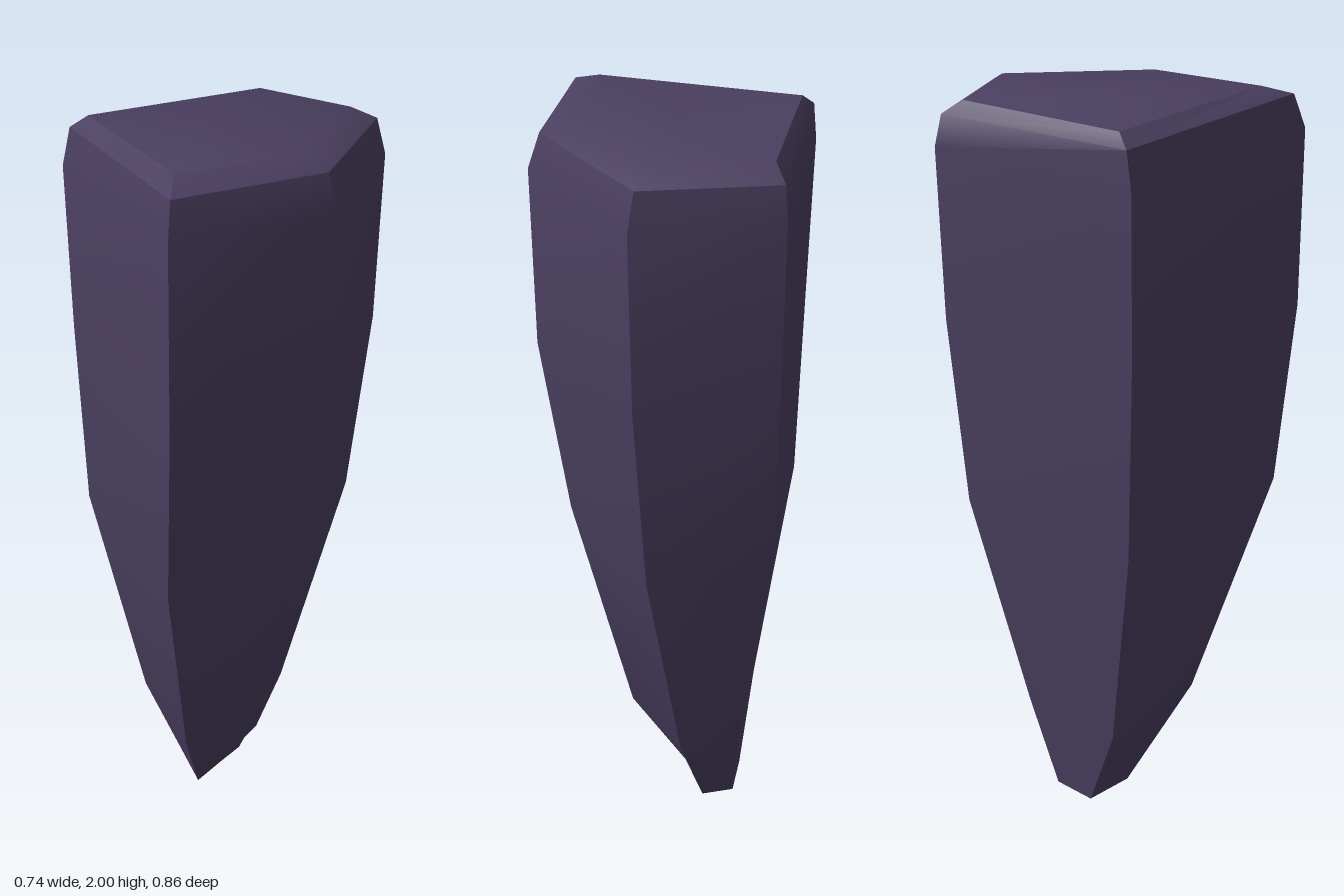
import * as THREE from 'three';
import { toCreasedNormals } from 'three/addons/utils/BufferGeometryUtils.js';

// Five-sided cross-sections, bottom to top; corners as [x, y, z]
const rings = [
  [[-0.10, 0.01, -0.16], [-0.01, 0.01, -0.155], [0.01, 0.05, -0.04], [-0.03, 0, 0.03], [-0.155, 0.01, -0.05]],
  [[-0.09, 0.28, -0.24], [0.08, 0.28, -0.24], [0.155, 0.28, 0.0], [0.055, 0.3, 0.2], [-0.22, 0.28, 0.03]],
  [[-0.115, 0.92, -0.385], [0.2, 0.93, -0.36], [0.305, 0.94, 0.03], [0.15, 0.94, 0.395], [-0.345, 0.92, 0.1]],
  [[-0.11, 1.43, -0.425], [0.235, 1.43, -0.395], [0.37, 1.43, 0.035], [0.19, 1.43, 0.43], [-0.36, 1.43, 0.11]],
  [[-0.11, 1.87, -0.43], [0.24, 1.87, -0.40], [0.37, 1.88, 0.035], [0.19, 1.89, 0.425], [-0.37, 1.86, 0.11]],
  [[-0.11, 1.95, -0.41], [0.22, 1.96, -0.385], [0.34, 1.965, 0.03], [0.175, 1.975, 0.395], [-0.355, 1.955, 0.095]],
  [[-0.105, 1.985, -0.355], [0.17, 1.99, -0.34], [0.275, 1.995, 0.03], [0.13, 2.0, 0.32], [-0.315, 1.985, 0.07]],
];

// Skin the cross-sections and close both ends
function loft(sections) {
  const n = sections[0].length;
  const index = [];
  for (let r = 0; r < sections.length - 1; r++) {
    for (let i = 0; i < n; i++) {
      const a = r * n + i, b = r * n + (i + 1) % n;
      index.push(b, a, a + n, b, a + n, b + n);
    }
  }
  const top = (sections.length - 1) * n;
  for (let i = 1; i < n - 1; i++) {
    index.push(0, i, i + 1, top, top + i + 1, top + i);
  }
  const geometry = new THREE.BufferGeometry();
  geometry.setAttribute('position', new THREE.Float32BufferAttribute(sections.flat(2), 3));
  geometry.setIndex(index);
  return toCreasedNormals(geometry, 0.6);
}

export function createModel() {
  const group = new THREE.Group();
  group.name = 'stonePillar';
  const stone = new THREE.MeshStandardMaterial({ color: 0x4a3f60 });
  stone.name = 'dark purple stone';

  // Tapered stone shard with a bevelled top
  const shard = new THREE.Mesh(loft(rings), stone);
  shard.name = 'stoneShard';
  group.add(shard);
  return group;
}
